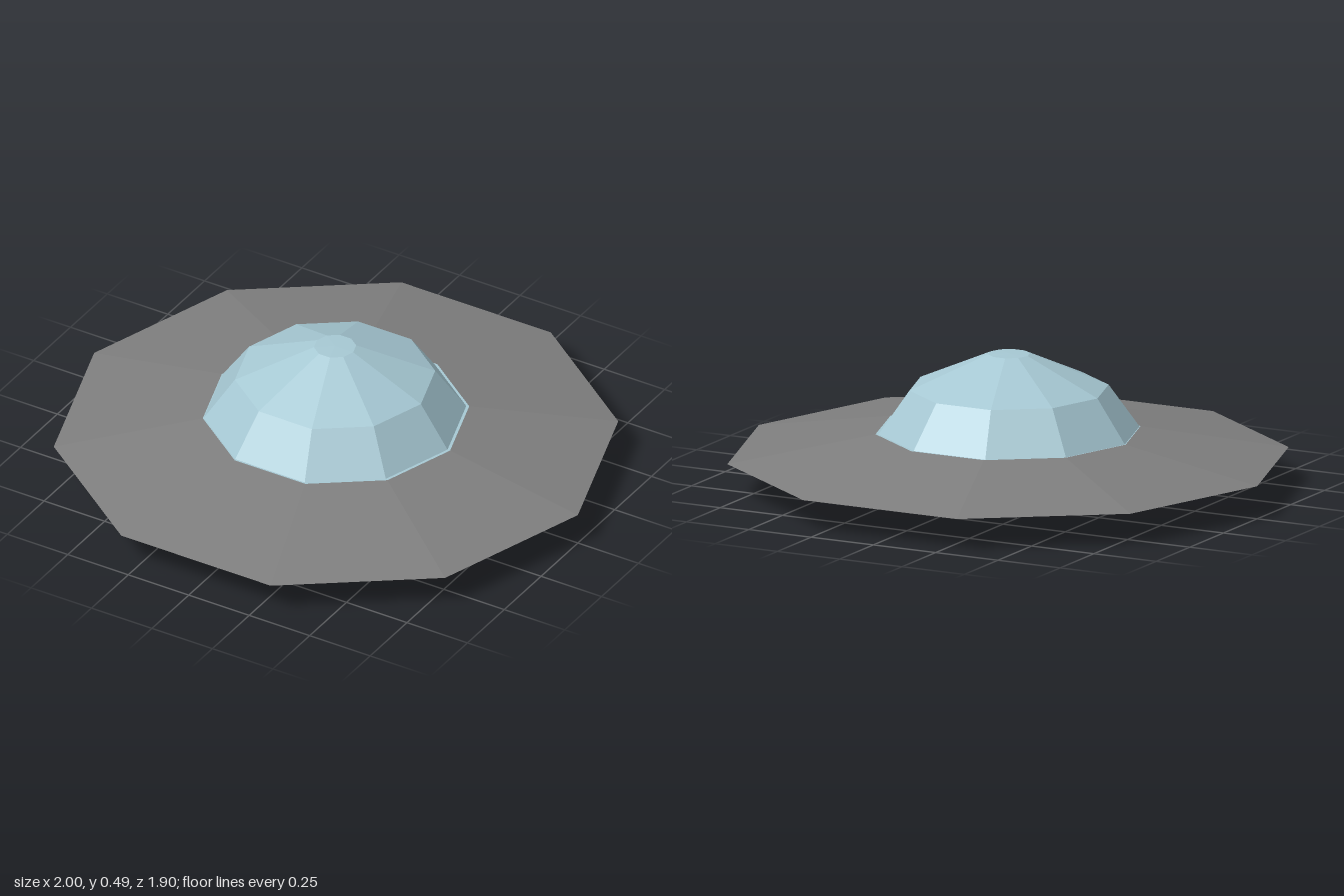
import * as THREE from 'three';

const SIDES = 10;

const hullGrey = new THREE.MeshStandardMaterial({ color: 0x7e7e7e, flatShading: true });
hullGrey.name = 'hull grey';
const domeBlue = new THREE.MeshStandardMaterial({ color: 0xa6c8d3, flatShading: true });
domeBlue.name = 'dome blue';

// Ten-sided turned part; profile runs from bottom to top, with corners on the x axis
function turned(name, profile, material) {
  const points = profile.map(([r, y]) => new THREE.Vector2(r, y));
  const mesh = new THREE.Mesh(new THREE.LatheGeometry(points, SIDES, Math.PI / 2), material);
  mesh.name = name;
  return mesh;
}

export function createModel() {
  const saucer = new THREE.Group();
  saucer.name = 'saucer';

  // Wide hull: shallow belly, sharp rim, sloping deck
  saucer.add(turned('hull', [[0, 0], [0.58, 0.035], [1, 0.118], [0.472, 0.21]], hullGrey));

  // Cabin floor closing the deck opening
  saucer.add(turned('cabinFloor', [[0.472, 0.21], [0, 0.21]], domeBlue));

  // Faceted dome with a small flat cap, set slightly off centre
  const dome = turned('dome', [[0.465, 0.21], [0.355, 0.365], [0.075, 0.488], [0, 0.49]], domeBlue);
  dome.position.x = -0.004;
  saucer.add(dome);

  return saucer;
}
